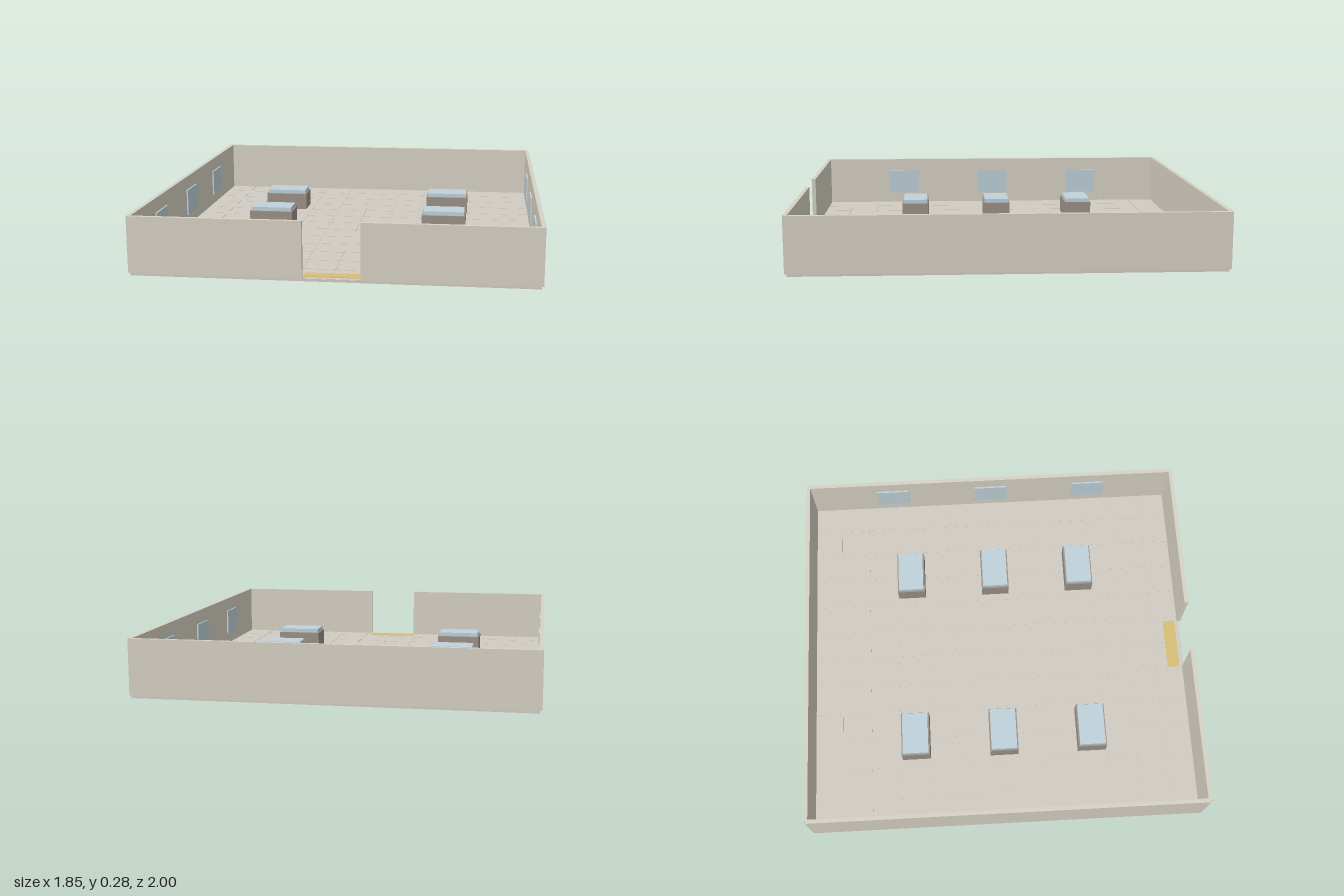
import * as THREE from 'three';

const paint = (color) => new THREE.MeshStandardMaterial({ color });

export function createModel() {
  const room = new THREE.Group();
  room.name = 'room';

  const wallMat = paint(0xd6d1c4);
  const floorMat = paint(0xd2ccc2);
  const caseMat = paint(0x9c9186);
  const glassMat = paint(0xbfd2da);
  const matMat = paint(0xd6be74);

  // Box standing on height y
  function box(parent, name, material, [w, h, d], [x, y, z]) {
    const mesh = new THREE.Mesh(new THREE.BoxGeometry(w, h, d), material);
    mesh.name = name;
    mesh.position.set(x, y + h / 2, z);
    parent.add(mesh);
    return mesh;
  }

  const W = 1.83, D = 1.98, T = 0.02, wallY = 0.012, wallH = 0.263, doorHalf = 0.13;

  // Floor slab with thin raised tiles
  box(room, 'floor', floorMat, [W, 0.012, D], [0, 0, 0]);
  const columns = 12, rows = 13, tileW = W / columns, tileD = D / rows, gap = 0.005;
  const tiles = new THREE.InstancedMesh(
    new THREE.BoxGeometry(tileW - gap, 0.002, tileD - gap), floorMat, columns * rows);
  tiles.name = 'floorTiles';
  const place = new THREE.Matrix4();
  for (let i = 0; i < columns; i++) {
    for (let j = 0; j < rows; j++) {
      place.makeTranslation((i + 0.5) * tileW - W / 2, 0.0125, (j + 0.5) * tileD - D / 2);
      tiles.setMatrixAt(i * rows + j, place);
    }
  }
  room.add(tiles);

  // Back wall, and mirrored side walls, front wall halves and windows
  box(room, 'backWall', wallMat, [W, wallH, T], [0, wallY, -D / 2]);
  const frontW = W / 2 - doorHalf;
  for (const side of [-1, 1]) {
    const label = side > 0 ? 'left' : 'right';
    box(room, label + 'Wall', wallMat, [T, wallH, D], [side * W / 2, wallY, 0]);
    box(room, label + 'FrontWall', wallMat, [frontW, wallH, T],
      [side * (doorHalf + frontW / 2), wallY, D / 2]);
    for (const z of [-0.54, 0, 0.54]) {
      box(room, label + 'WindowPanel', glassMat, [0.01, 0.135, 0.175], [side * 0.902, 0.07, z]);
    }
  }

  // Two rows of display cases with glass tops
  for (const x of [-0.455, 0.455]) {
    for (const z of [-0.456, 0, 0.456]) {
      const displayCase = new THREE.Group();
      displayCase.name = 'displayCase';
      displayCase.position.set(x, 0, z);
      box(displayCase, 'caseBody', caseMat, [0.226, 0.098, 0.146], [0, 0.002, 0]);
      box(displayCase, 'caseGlass', glassMat, [0.212, 0.02, 0.132], [0, 0.1, 0]);
      room.add(displayCase);
    }
  }

  // Mat just inside the doorway
  box(room, 'doorMat', matMat, [0.26, 0.006, 0.062], [0, 0.01, 0.935]);

  return room;
}
